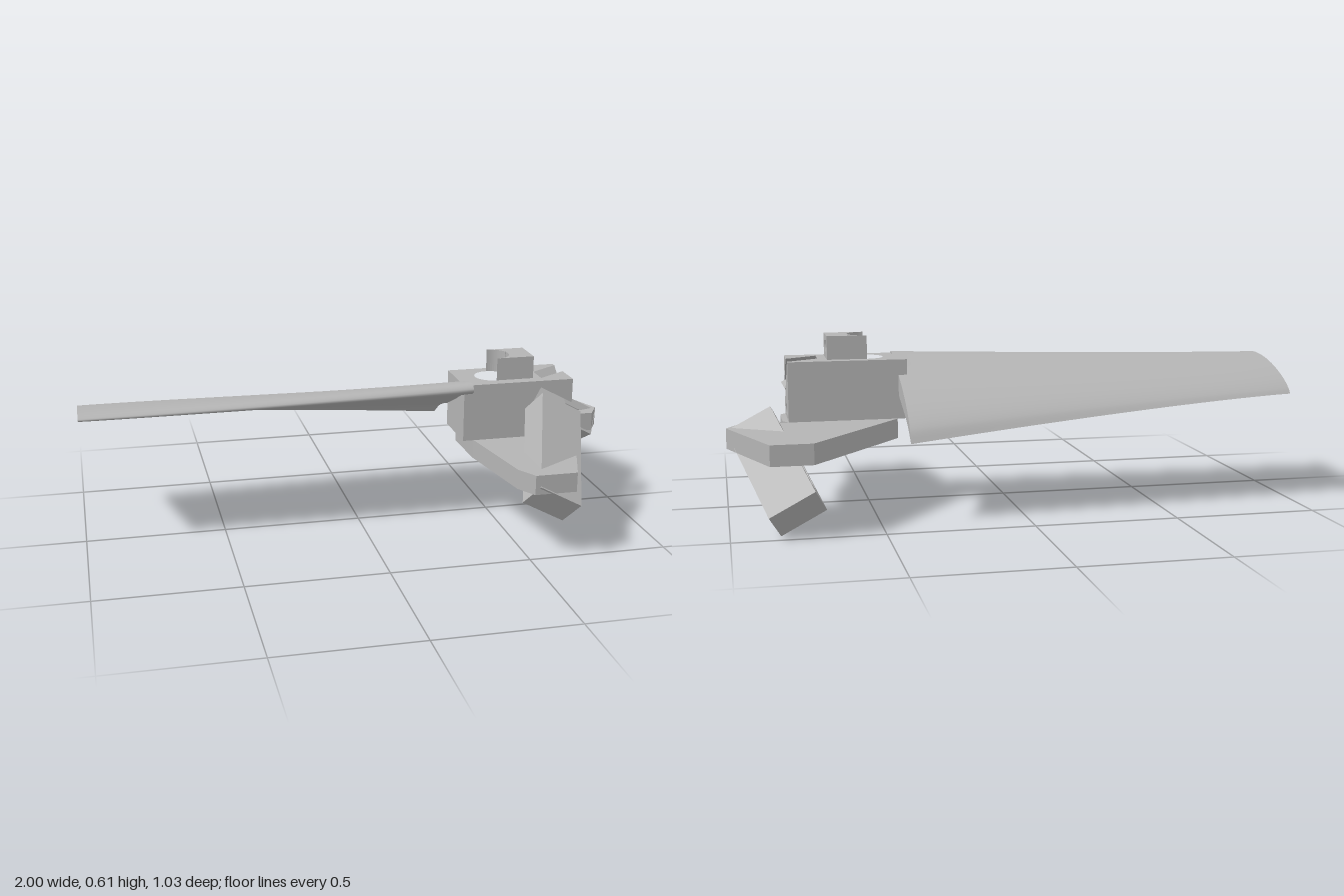
import * as THREE from 'three';
import { ConvexGeometry } from 'three/addons/geometries/ConvexGeometry.js';

const grey = new THREE.MeshStandardMaterial({ color: 0xb4b4b4 });
grey.name = 'grey';

const V = (x, y, z) => new THREE.Vector3(x, y, z);

function add(parent, name, geometry) {
  const mesh = new THREE.Mesh(geometry, grey);
  mesh.name = name;
  parent.add(mesh);
  return mesh;
}

// Shape from [x, z] points, extruded upward from y0 to y1
function slabY(points, y0, y1, hole) {
  const shape = new THREE.Shape(points.map(([x, z]) => new THREE.Vector2(x, -z)));
  if (hole) shape.holes.push(new THREE.Path().absarc(hole[0], -hole[1], hole[2], 0, Math.PI * 2, true));
  const g = new THREE.ExtrudeGeometry(shape, { depth: y1 - y0, bevelEnabled: false, curveSegments: 32 });
  return g.rotateX(-Math.PI / 2).translate(0, y0, 0);
}

// Block with a round bore along x
function boredX(x0, x1, y0, y1, halfZ, boreY, r) {
  const shape = new THREE.Shape([[-halfZ, y0], [halfZ, y0], [halfZ, y1], [-halfZ, y1]].map(p => new THREE.Vector2(...p)));
  shape.holes.push(new THREE.Path().absarc(0, boreY, r, 0, Math.PI * 2, true));
  const g = new THREE.ExtrudeGeometry(shape, { depth: x1 - x0, bevelEnabled: false, curveSegments: 24 });
  return g.rotateY(Math.PI / 2).translate(x0, 0, 0);
}

// Convex solid bounded by half-spaces n.p <= d
function solid(planes) {
  const points = [];
  const m = new THREE.Matrix3();
  for (let i = 0; i < planes.length; i++)
    for (let j = i + 1; j < planes.length; j++)
      for (let k = j + 1; k < planes.length; k++) {
        const [a, b, c] = [planes[i], planes[j], planes[k]];
        m.set(a.n.x, a.n.y, a.n.z, b.n.x, b.n.y, b.n.z, c.n.x, c.n.y, c.n.z);
        if (Math.abs(m.determinant()) < 1e-4) continue;
        const p = V(a.d, b.d, c.d).applyMatrix3(m.invert());
        if (planes.every(q => q.n.dot(p) <= q.d + 1e-6) && !points.some(q => q.distanceTo(p) < 1e-5)) points.push(p);
      }
  if (points.length < 4) return null;
  const size = new THREE.Box3().setFromPoints(points).getSize(V(0, 0, 0));
  return Math.min(size.x, size.y, size.z) < 1e-3 ? null : new ConvexGeometry(points);
}

// Shared directions of the sloped front socket: across, along, and outward
const across = V(0.88, -0.47, 0).normalize();
const along = V(0.28, 0.53, -0.8);
along.addScaledVector(across, -along.dot(across)).normalize();
const outward = across.clone().cross(along);
const frontTip = V(0.645, 0.505, 0.17);
const W = 0.17, L = 0.43, T = 0.108, G0 = 0.032, G1 = 0.083, WEB = 0.015;

// Sloped socket: two flanges, a thin web and a closed lower end around a groove
function socket(name, tip, side) {
  const group = new THREE.Group();
  group.name = name;
  const l = along.clone(), n = outward.clone();
  l.z *= side;
  n.z *= side;
  const basis = new THREE.Matrix4().makeBasis(across, l, across.clone().cross(l));
  const web = side > 0 ? [0, WEB] : [W - WEB, W];
  const pieces = [
    ['outerFlange', 0, W, 0, L, 0, G0],
    ['innerFlange', 0, W, 0, L, G1, T],
    ['web', ...web, 0, L, G0, G1],
    ['closedEnd', 0, W, L - 0.07, L, G0, G1],
  ];
  for (const [part, a0, a1, b0, b1, c0, c1] of pieces) {
    const mesh = add(group, part, new THREE.BoxGeometry(a1 - a0, b1 - b0, c1 - c0));
    mesh.quaternion.setFromRotationMatrix(basis);
    mesh.position.copy(tip).addScaledVector(across, (a0 + a1) / 2)
      .addScaledVector(l, -(b0 + b1) / 2).addScaledVector(n, -(c0 + c1) / 2);
  }
  return group;
}

// Blade lofted between root and tip sections, given as [z, y] from trailing edge over the top and back
function bladeGeometry() {
  const root = [[-0.385, 0.28], [-0.36, 0.328], [-0.3, 0.381], [-0.2, 0.436], [-0.1, 0.477], [0, 0.516], [0.07, 0.535],
    [0.11, 0.533], [0.125, 0.515], [0.11, 0.5], [0.07, 0.485], [0, 0.45], [-0.1, 0.405], [-0.2, 0.372], [-0.3, 0.335], [-0.36, 0.298], [-0.385, 0.28]];
  const tip = [[-0.29, 0.39], [-0.275, 0.407], [-0.23, 0.437], [-0.15, 0.471], [-0.07, 0.493], [0, 0.503], [0.05, 0.505],
    [0.08, 0.5], [0.09, 0.49], [0.08, 0.483], [0.05, 0.476], [0, 0.463], [-0.07, 0.445], [-0.15, 0.425], [-0.23, 0.405], [-0.275, 0.393], [-0.29, 0.39]];
  const N = 48, M = 20;
  const sample = s => {
    const curve = new THREE.CatmullRomCurve3(s.map(([z, y]) => V(0, y, z)));
    return Array.from({ length: N + 1 }, (_, i) => curve.getPoint(i / N));
  };
  const a = sample(tip), b = sample(root), pos = [], idx = [];
  const ring = u => {
    const start = pos.length / 3;
    for (let i = 0; i <= N; i++) {
      const y = THREE.MathUtils.lerp(a[i].y, b[i].y, Math.pow(u, 1.35));
      const z = THREE.MathUtils.lerp(a[i].z, b[i].z, Math.pow(u, 0.85));
      pos.push(-1 + 1.4 * u, y, z);
    }
    return start;
  };
  for (let j = 0; j <= M; j++) ring(j / M);
  for (let j = 0; j < M; j++)
    for (let i = 0; i < N; i++) {
      const p = j * (N + 1) + i, q = p + N + 1;
      idx.push(p, p + 1, q, p + 1, q + 1, q);
    }
  // End caps bridge the upper and lower lines
  for (const u of [0, 1]) {
    const s = ring(u);
    for (let i = 0; i < N / 2; i++) {
      const quad = [s + i, s + i + 1, s + N - i - 1, s + N - i];
      const [p, q, r, t] = u ? quad.reverse() : quad;
      idx.push(p, r, q, p, t, r);
    }
  }
  const g = new THREE.BufferGeometry();
  g.setAttribute('position', new THREE.Float32BufferAttribute(pos, 3));
  g.setIndex(idx);
  g.computeVertexNormals();
  return g;
}

export function createModel() {
  const model = new THREE.Group();
  model.name = 'rotorHub';
  const axle = [0.505, 0, 0.063];

  // Base plate with front and back lobes
  add(model, 'basePlate', slabY([[0.405, -0.105], [0.73, -0.515], [0.87, -0.515], [1, -0.175], [0.96, -0.11], [0.785, -0.11],
    [0.805, -0.07], [0.805, 0.075], [0.78, 0.105], [0.78, 0.17], [0.655, 0.51], [0.505, 0.51], [0.465, 0.44], [0.41, 0.1]], 0.25, 0.32, axle));

  // Hub block: bored core, then a nose cut by the sloping groove
  const X = 0.574, X1 = 0.785, H = 0.105;
  add(model, 'hubCore', slabY([[0.37, -H], [X, -H], [X, H], [0.37, H]], 0.32, 0.53, axle));
  add(model, 'pinBore', boredX(X, X1, 0.3, 0.4, 0.05, 0.35, 0.022));
  const half = (n, d) => ({ n, d });
  const flip = n => n.clone().negate();
  const floor = frontTip.dot(across) + WEB;
  const top = frontTip.dot(outward) - G0, bottom = frontTip.dot(outward) - G1;
  const cuts = [
    [half(across, floor)],
    [half(flip(across), -floor), half(outward, bottom)],
    [half(flip(across), -floor), half(flip(outward), -top)],
  ];
  const cells = [[0.3, 0.4, 0.05, H], [0.3, 0.4, -H, -0.05], [0.4, 0.53, -H, H]];
  for (const [y0, y1, z0, z1] of cells)
    for (const cut of cuts) {
      const g = solid([half(V(1, 0, 0), X1), half(V(-1, 0, 0), -X), half(V(0, 1, 0), y1), half(V(0, -1, 0), -y0),
        half(V(0, 0, 1), z1), half(V(0, 0, -1), -z0), ...cut]);
      if (g) add(model, 'hubNose', g);
    }

  // Top lug with a cross bore, hollowed to follow the axle hole
  add(model, 'topLug', boredX(0.566, 0.645, 0.53, 0.613, 0.063, 0.574, 0.022));
  for (const s of [-1, 1]) {
    const ear = [[0.567, s * 0.022], [0.567, s * 0.063]];
    for (let i = 0; i <= 10; i++) {
      const t = Math.PI / 2 - i * 0.121;
      ear.push([0.505 + 0.063 * Math.cos(t), s * 0.063 * Math.sin(t)]);
    }
    add(model, 'lugEar', slabY(ear, 0.53, 0.613));
  }

  // Blade sockets
  model.add(socket('frontSocket', frontTip, 1));
  model.add(socket('backSocket', V(0.85, 0.39, -0.17), -1));

  add(model, 'blade', bladeGeometry());
  return model;
}
